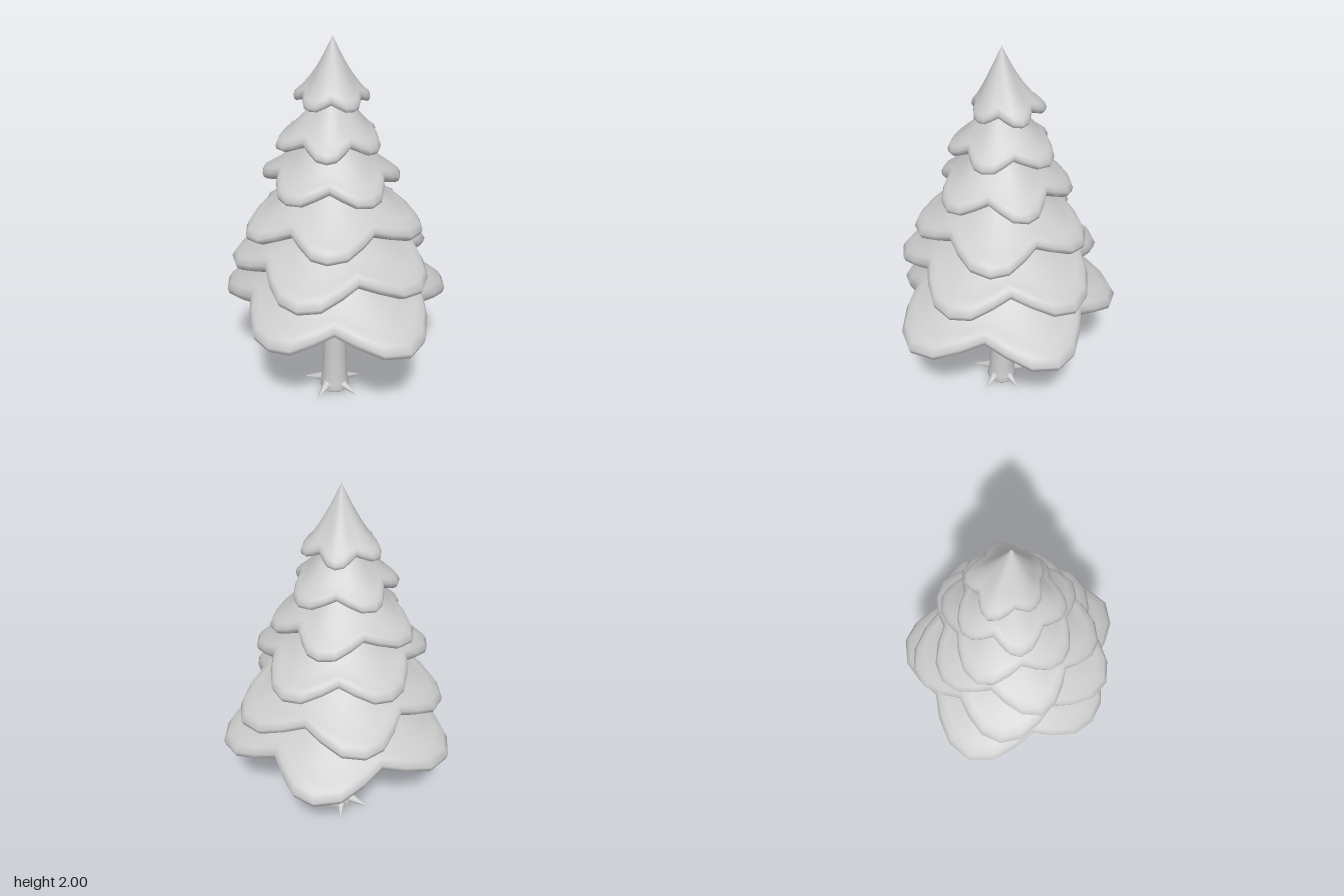
import * as THREE from 'three';

const DEG = Math.PI / 180;
// steps from a lobe's tip to the valley beside it: radius and rise of the rim
const STEP_R = [1, 0.955, 0.855, 0.765];
const STEP_LIFT = [0, 0.12, 0.62, 1];
const SEGMENTS = 30;

// Rim outline of a tier from its five [angle, radius] lobe tips.
function rimOutline(tips) {
  const rim = [];
  tips.forEach(([a0, r0], i) => {
    const [next, r1] = tips[(i + 1) % tips.length];
    const a1 = i === tips.length - 1 ? next + 360 : next;
    for (let s = 0; s < 6; s++) {
      const t = s / 6, k = Math.min(s, 6 - s);
      rim.push({
        angle: THREE.MathUtils.lerp(a0, a1, t) * DEG,
        radius: THREE.MathUtils.lerp(r0, r1, t) * STEP_R[k],
        lift: STEP_LIFT[k],
      });
    }
  });
  return rim;
}

// Skirt of branches: upper surface, rolled rim, then hollow underside.
function tierGeometry({ tips, base, thick, height, lift, under }) {
  const rim = rimOutline(tips);
  const mean = tips.reduce((sum, tip) => sum + tip[1], 0) / tips.length * 0.88;
  const rows = [];
  for (const f of [0, 0.07, 0.18, 0.32, 0.47, 0.62, 0.76, 0.88, 0.96]) {
    rows.push([f, base + thick + height * Math.pow(1 - f, 1.28), f * f]);
  }
  rows.push([1, base + thick * 0.55, 1], [0.985, base + thick * 0.18, 1], [0.93, base, 0.95]);
  for (const f of [0.8, 0.55, 0.28, 0]) {
    rows.push([f, base + under * Math.pow(1 - f, 0.8), f]);
  }
  const position = [], index = [];
  rows.forEach(([f, y, rise], i) => {
    rim.forEach((point, j) => {
      const r = f * THREE.MathUtils.lerp(mean, point.radius, Math.min(1, f * 1.1));
      position.push(
        r * Math.cos(point.angle),
        y + lift * point.lift * rise,
        r * Math.sin(point.angle));
      if (i < rows.length - 1) {
        const p = i * SEGMENTS + j, q = i * SEGMENTS + (j + 1) % SEGMENTS;
        if (i > 0) index.push(p, q, p + SEGMENTS);
        if (i < rows.length - 2) index.push(q, q + SEGMENTS, p + SEGMENTS);
        else index.push(q, p + SEGMENTS, p);
      }
    });
  });
  // the last row meets in one point, so a single triangle per segment is enough there
  index.length -= SEGMENTS * 3;
  const geometry = new THREE.BufferGeometry();
  geometry.setAttribute('position', new THREE.Float32BufferAttribute(position, 3));
  geometry.setIndex(index);
  geometry.computeVertexNormals();
  // shared upward and downward normals at the two poles
  const normal = geometry.attributes.normal;
  for (let j = 0; j < SEGMENTS; j++) {
    normal.setXYZ(j, 0, 1, 0);
    normal.setXYZ((rows.length - 1) * SEGMENTS + j, 0, -1, 0);
  }
  return geometry;
}

export function createModel() {
  const tree = new THREE.Group();
  tree.name = 'pineTree';
  const clay = new THREE.MeshStandardMaterial({ color: 0xcccccc });
  clay.name = 'lightGrey';

  const add = (name, geometry, parent = tree) => {
    const mesh = new THREE.Mesh(geometry, clay);
    mesh.name = name;
    parent.add(mesh);
    return mesh;
  };

  // trunk, slightly flared at the foot
  const trunkProfile = [
    [0, 0], [0.072, 0], [0.08, 0.012], [0.076, 0.045], [0.069, 0.09],
    [0.065, 0.2], [0.056, 0.55], [0.05, 0.8], [0, 0.8],
  ].map(([r, y]) => new THREE.Vector2(r, y));
  add('trunk', new THREE.LatheGeometry(trunkProfile, 20)).position.set(0.01, 0, -0.004);

  // five pointed roots around the foot
  const roots = new THREE.Group();
  roots.name = 'roots';
  tree.add(roots);
  const up = new THREE.Vector3(0, 1, 0);
  for (const degrees of [0, 80, 146, 214, 280]) {
    const x = Math.sin(degrees * DEG), z = Math.cos(degrees * DEG);
    const from = new THREE.Vector3(x * 0.06, 0.042, z * 0.06);
    const to = new THREE.Vector3(x * 0.172, 0.012, z * 0.172);
    const direction = to.clone().sub(from);
    const root = add('root', new THREE.ConeGeometry(0.026, direction.length(), 10), roots);
    root.position.copy(from).add(to).multiplyScalar(0.5);
    root.quaternion.setFromUnitVectors(up, direction.normalize());
  }

  // six tiers of branches, lowest first
  const foliage = new THREE.Group();
  foliage.name = 'foliage';
  tree.add(foliage);
  const tiers = [
    { tips: [[23, 0.64], [94, 0.56], [168, 0.605], [247, 0.605], [311, 0.635]],
      base: 0.55, thick: 0.075, height: 0.53, lift: 0.085, under: 0.11 },
    { tips: [[5, 0.54], [78, 0.535], [152, 0.525], [221, 0.53], [297, 0.56]],
      base: 0.795, thick: 0.068, height: 0.43, lift: 0.08, under: 0.1 },
    { tips: [[-16, 0.46], [63, 0.44], [127, 0.46], [199, 0.43], [273, 0.45]],
      base: 1.025, thick: 0.06, height: 0.4, lift: 0.07, under: 0.09 },
    { tips: [[26, 0.345], [100, 0.34], [171, 0.38], [252, 0.35], [316, 0.35]],
      base: 1.25, thick: 0.052, height: 0.38, lift: 0.06, under: 0.08 },
    { tips: [[-1, 0.245], [66, 0.26], [137, 0.28], [199, 0.28], [281, 0.275]],
      base: 1.46, thick: 0.045, height: 0.33, lift: 0.05, under: 0.06 },
    { tips: [[21, 0.16], [104, 0.163], [175, 0.208], [242, 0.21], [307, 0.195]],
      base: 1.67, thick: 0.038, height: 0.292, lift: 0.035, under: 0.045 },
  ];
  tiers.forEach((tier, i) => add(`branchTier${i + 1}`, tierGeometry(tier), foliage));

  return tree;
}
